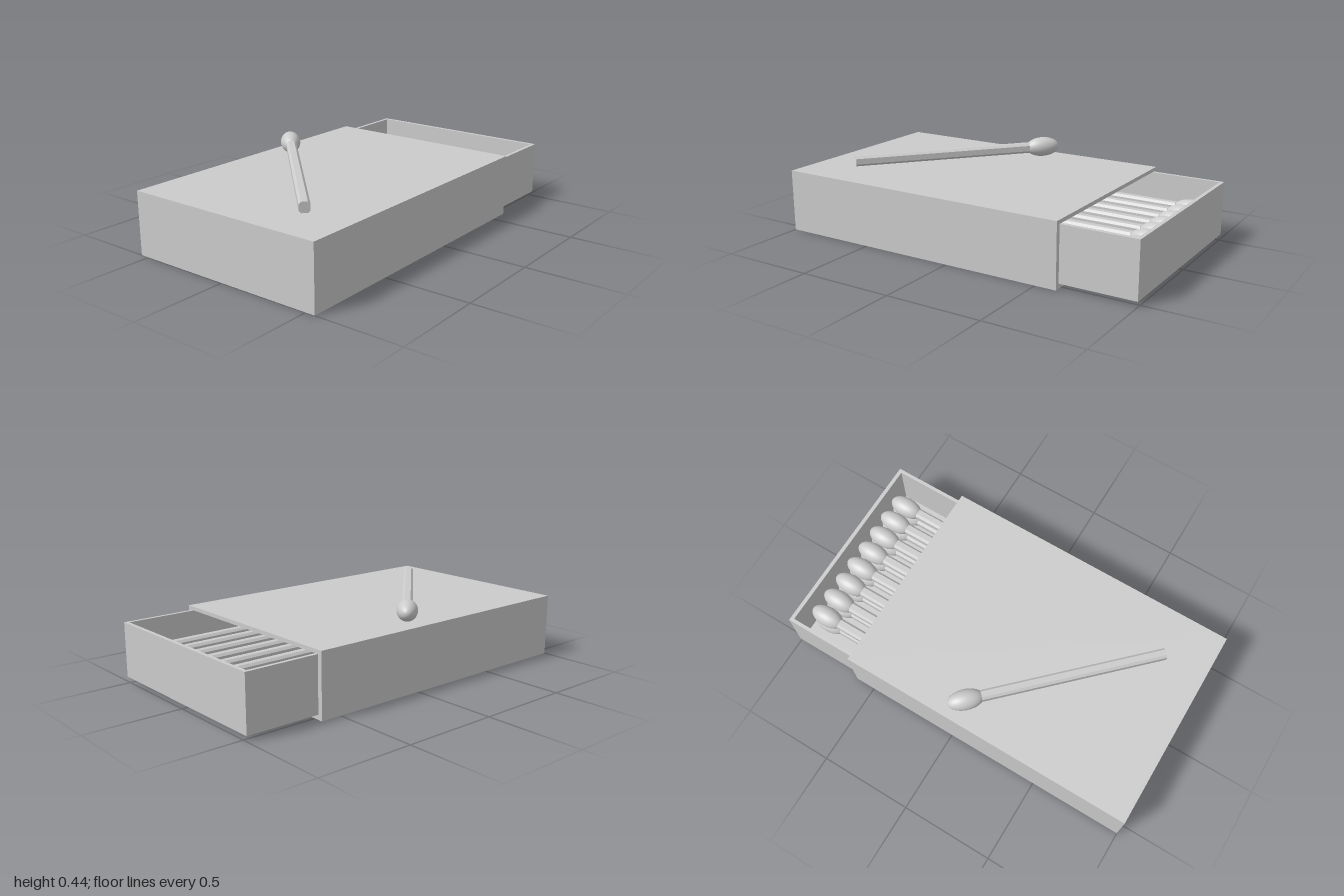
import * as THREE from 'three';

const material = new THREE.MeshStandardMaterial({ color: 0xcccccc });

function box(name, x0, x1, y0, y1, z0, z1) {
  const mesh = new THREE.Mesh(new THREE.BoxGeometry(x1 - x0, y1 - y0, z1 - z0), material);
  mesh.name = name;
  mesh.position.set((x0 + x1) / 2, (y0 + y1) / 2, (z0 + z1) / 2);
  return mesh;
}

// Rectangle path, used for the sleeve outline and its opening
function rect(path, x, y0, y1) {
  path.moveTo(-x, y0);
  path.lineTo(x, y0);
  path.lineTo(x, y1);
  path.lineTo(-x, y1);
  path.closePath();
  return path;
}

// Chamfered square stick running along +z
const h = 0.027, c = 0.015;
const stickShape = new THREE.Shape(
  [[h, -c], [h, c], [c, h], [-c, h], [-h, c], [-h, -c], [-c, -h], [c, -h]]
    .map(([x, y]) => new THREE.Vector2(x, y)));
const stickGeometry = new THREE.ExtrudeGeometry(stickShape, { depth: 0.96, bevelEnabled: false });
stickGeometry.translate(0, 0, 0.08);

// Egg-shaped head, long axis along z
const headGeometry = new THREE.SphereGeometry(1, 32, 20);
headGeometry.rotateX(Math.PI / 2);
headGeometry.scale(0.053, 0.053, 0.094);

function makeMatch(name) {
  const match = new THREE.Group();
  match.name = name;
  const stick = new THREE.Mesh(stickGeometry, material);
  stick.name = 'matchStick';
  const head = new THREE.Mesh(headGeometry, material);
  head.name = 'matchHead';
  match.add(stick, head);
  return match;
}

export function createModel() {
  const model = new THREE.Group();
  model.name = 'matchbox';

  // Outer sleeve: hollow, open at the back, closed at the front
  const sleeve = new THREE.Group();
  sleeve.name = 'sleeve';
  const outline = rect(new THREE.Shape(), 0.55, 0, 0.33);
  outline.holes.push(rect(new THREE.Path(), 0.525, 0.025, 0.31));
  const walls = new THREE.Mesh(
    new THREE.ExtrudeGeometry(outline, { depth: 1.59, bevelEnabled: false }), material);
  walls.name = 'sleeveWalls';
  walls.position.z = -0.61;
  sleeve.add(walls, box('sleeveFront', -0.55, 0.55, 0, 0.33, 0.98, 1));
  model.add(sleeve);

  // Tray pulled out at the back
  const tray = new THREE.Group();
  tray.name = 'tray';
  tray.add(
    box('trayFloor', -0.525, 0.525, 0.025, 0.045, -1, 0.6),
    box('trayBack', -0.507, 0.507, 0.045, 0.31, -1, -0.98),
    box('trayFront', -0.507, 0.507, 0.045, 0.31, 0.58, 0.6));
  for (const side of [-1, 1]) {
    const x = side * 0.516;
    tray.add(box('traySide', x - 0.009, x + 0.009, 0.045, 0.31, -1, 0.6));
  }
  model.add(tray);

  // Two layers of matches lying in the tray
  for (const y of [0.098, 0.18]) {
    for (let i = 0; i < 8; i++) {
      const match = makeMatch('trayMatch');
      match.position.set(-0.377 + i * 0.11, y, -0.886);
      model.add(match);
    }
  }

  // Loose match lying across the top
  const loose = makeMatch('looseMatch');
  loose.position.set(-0.433, 0.385, 0.03);
  loose.lookAt(0.3, 0.361, 0.765);
  model.add(loose);

  return model;
}
